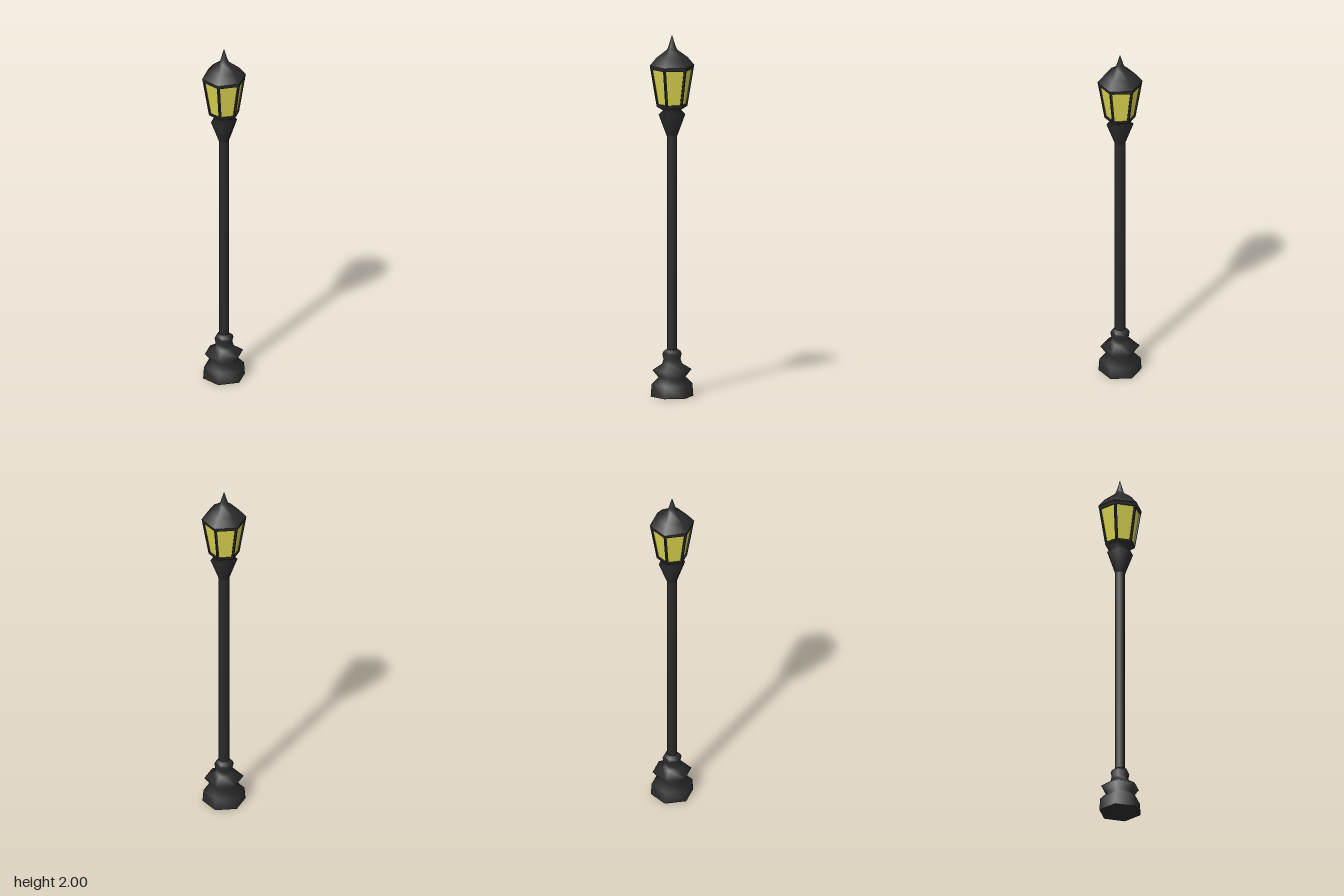
import * as THREE from 'three';

const iron = new THREE.MeshStandardMaterial({ color: 0x2b2b2b, side: THREE.DoubleSide });
const amber = new THREE.MeshStandardMaterial({ color: 0xddd650, side: THREE.DoubleSide });
const SIDES = 6;
const APOTHEM = Math.cos(Math.PI / SIDES);

// Six-sided turned part with corners on the x axis; profile is [radius, height] from bottom to top
function turned(name, profile, material = iron) {
  const points = profile.map(([r, y]) => new THREE.Vector2(r, y));
  const mesh = new THREE.Mesh(new THREE.LatheGeometry(points, SIDES, Math.PI / 2), material);
  mesh.name = name;
  return mesh;
}

// Flat hexagonal lid closing a turned part
function cap(name, radius, y, facingUp) {
  const geometry = new THREE.CircleGeometry(radius, SIDES);
  geometry.rotateX(facingUp ? -Math.PI / 2 : Math.PI / 2);
  const mesh = new THREE.Mesh(geometry, iron);
  mesh.position.y = y;
  mesh.name = name;
  return mesh;
}

function trapezoid(PathType, y0, half0, y1, half1) {
  const path = new PathType();
  path.moveTo(-half0, y0);
  path.lineTo(half0, y0);
  path.lineTo(half1, y1);
  path.lineTo(-half1, y1);
  path.closePath();
  return path;
}

// Lantern body: six outward-leaning window frames with recessed panes
function lantern() {
  const group = new THREE.Group();
  group.name = 'lantern';
  const bottom = 1.605, top = 1.83, r0 = 0.085, r1 = 0.123, bar = 0.01, depth = 0.01;
  const rise = top - bottom;
  const lean = Math.atan2((r1 - r0) * APOTHEM, rise);
  const slant = rise / Math.cos(lean);
  const low = 0.012, high = slant - 0.02;
  const halfAt = (s) => (r0 + (r1 - r0) * s / slant) / 2;

  const outline = trapezoid(THREE.Shape, 0, halfAt(0), slant, halfAt(slant));
  outline.holes.push(trapezoid(THREE.Path, low, halfAt(low) - bar, high, halfAt(high) - bar));
  const frame = new THREE.ExtrudeGeometry(outline, { depth, bevelEnabled: false });
  frame.translate(0, 0, -depth);
  const pane = new THREE.ShapeGeometry(
    trapezoid(THREE.Shape, low - 0.003, halfAt(low) - bar + 0.002, high + 0.003, halfAt(high) - bar + 0.002));
  pane.translate(0, 0, -depth * 0.8);

  for (const geometry of [frame, pane]) {
    geometry.rotateX(lean);
    geometry.translate(0, bottom, r0 * APOTHEM);
  }
  for (let i = 0; i < SIDES; i++) {
    const windowFrame = new THREE.Mesh(frame, iron);
    const glass = new THREE.Mesh(pane, amber);
    windowFrame.name = 'windowFrame';
    glass.name = 'glassPane';
    windowFrame.rotation.y = glass.rotation.y = i * Math.PI * 2 / SIDES;
    group.add(windowFrame, glass);
  }
  return group;
}

export function createModel() {
  const model = new THREE.Group();
  model.name = 'streetLamp';
  model.add(
    // Stepped foot
    turned('base', [
      [0.118, 0], [0.113, 0.068], [0.075, 0.106], [0.108, 0.147],
      [0.056, 0.18], [0.047, 0.205], [0.053, 0.235], [0.046, 0.25], [0.028, 0.262],
    ]),
    cap('baseUnderside', 0.118, 0, false),
    turned('pole', [[0.029, 0.25], [0.029, 1.45]]),
    // Flared collar and seat below the lantern
    turned('collar', [[0.029, 1.44], [0.074, 1.56], [0.05, 1.583], [0.085, 1.605]]),
    cap('lanternFloor', 0.085, 1.606, true),
    lantern(),
    // Domed roof and spike
    cap('roofUnderside', 0.124, 1.829, false),
    turned('roof', [[0.124, 1.83], [0.086, 1.875], [0.028, 1.918], [0.019, 1.938], [0.0005, 2]]),
  );
  return model;
}
